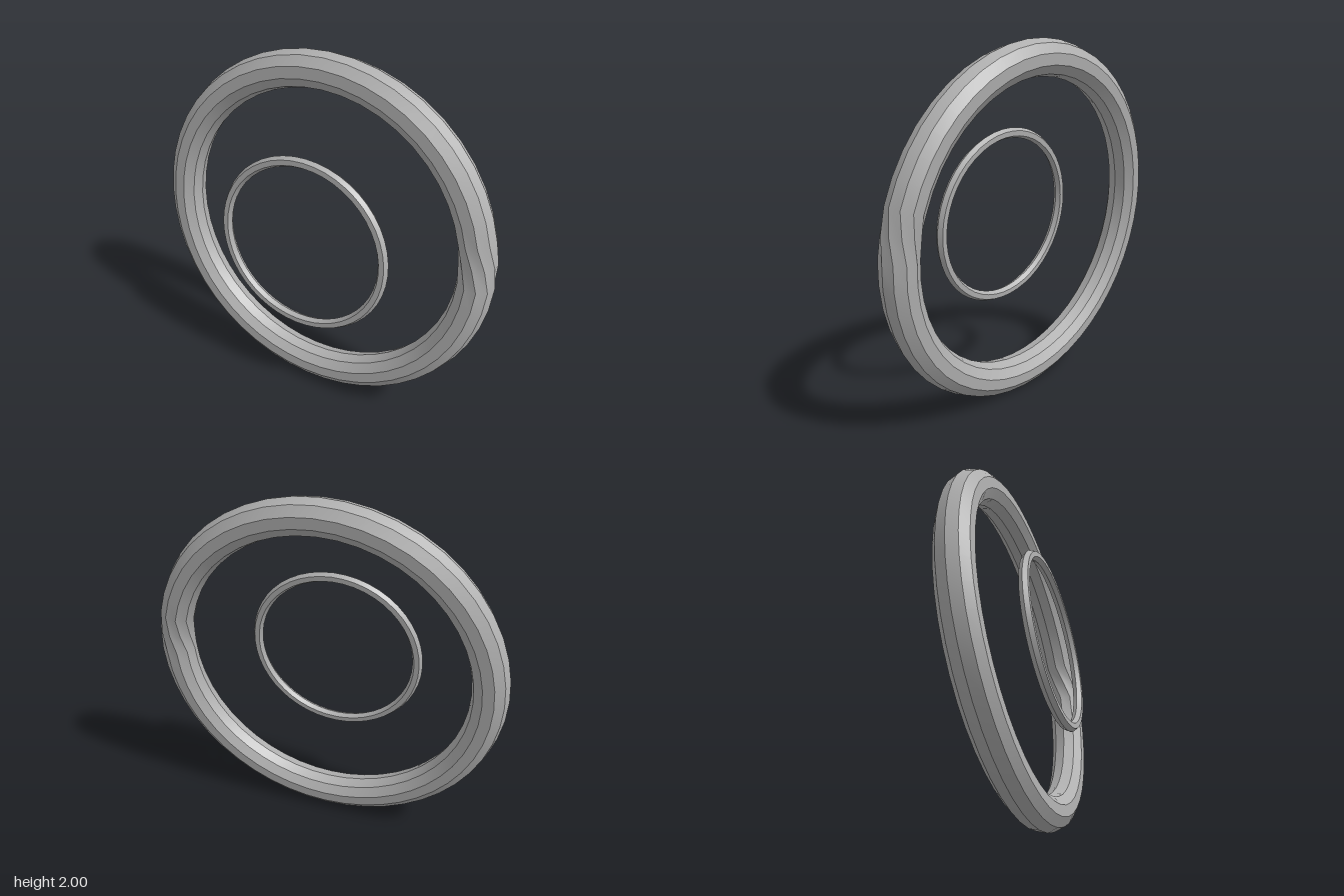
import * as THREE from 'three';
import { toCreasedNormals } from 'three/addons/utils/BufferGeometryUtils.js';

const SEGMENTS = 48;

// Ring with a faceted tube; its facets shift round by one side between arc 0 and twistArc.
function ringGeometry(radius, tube, sides, twistArc = 0) {
  const geo = new THREE.TorusGeometry(radius, tube, sides, SEGMENTS);
  if (twistArc > 0) {
    const pos = geo.attributes.position;
    const step = (Math.PI * 2) / sides;
    for (let j = 0; j <= sides; j++) {
      for (let i = 0; i <= SEGMENTS; i++) {
        const arc = (i / SEGMENTS) * Math.PI * 2;
        const a = j * step + step * Math.min(arc / twistArc, 1);
        const d = radius + tube * Math.cos(a);
        pos.setXYZ(j * (SEGMENTS + 1) + i, d * Math.cos(arc), d * Math.sin(arc), tube * Math.sin(a));
      }
    }
  }
  return toCreasedNormals(geo, 0.5);
}

export function createModel() {
  const model = new THREE.Group();
  model.name = 'tiltedRings';

  const grey = new THREE.MeshStandardMaterial({ color: 0xb0b0b0 });
  grey.name = 'grey';

  // Shared tilted axis of both rings
  const axis = new THREE.Vector3(-0.565, 0.1, 0.82).normalize();
  const side = new THREE.Vector3(0, 1, 0).cross(axis).normalize();
  const up = axis.clone().cross(side);
  const rings = new THREE.Group();
  rings.name = 'rings';
  rings.quaternion.setFromRotationMatrix(new THREE.Matrix4().makeBasis(side, up, axis));
  rings.position.y = 1;
  model.add(rings);

  // Large outer ring with a short twist in its tube
  const outer = new THREE.Mesh(ringGeometry(0.907, 0.098, 10, (Math.PI * 4) / SEGMENTS), grey);
  outer.name = 'outerRing';

  // Thin inner ring, set forward along the axis
  const inner = new THREE.Mesh(ringGeometry(0.48, 0.029, 6), grey);
  inner.name = 'innerRing';
  inner.position.z = 0.19;

  rings.add(outer, inner);
  return model;
}
